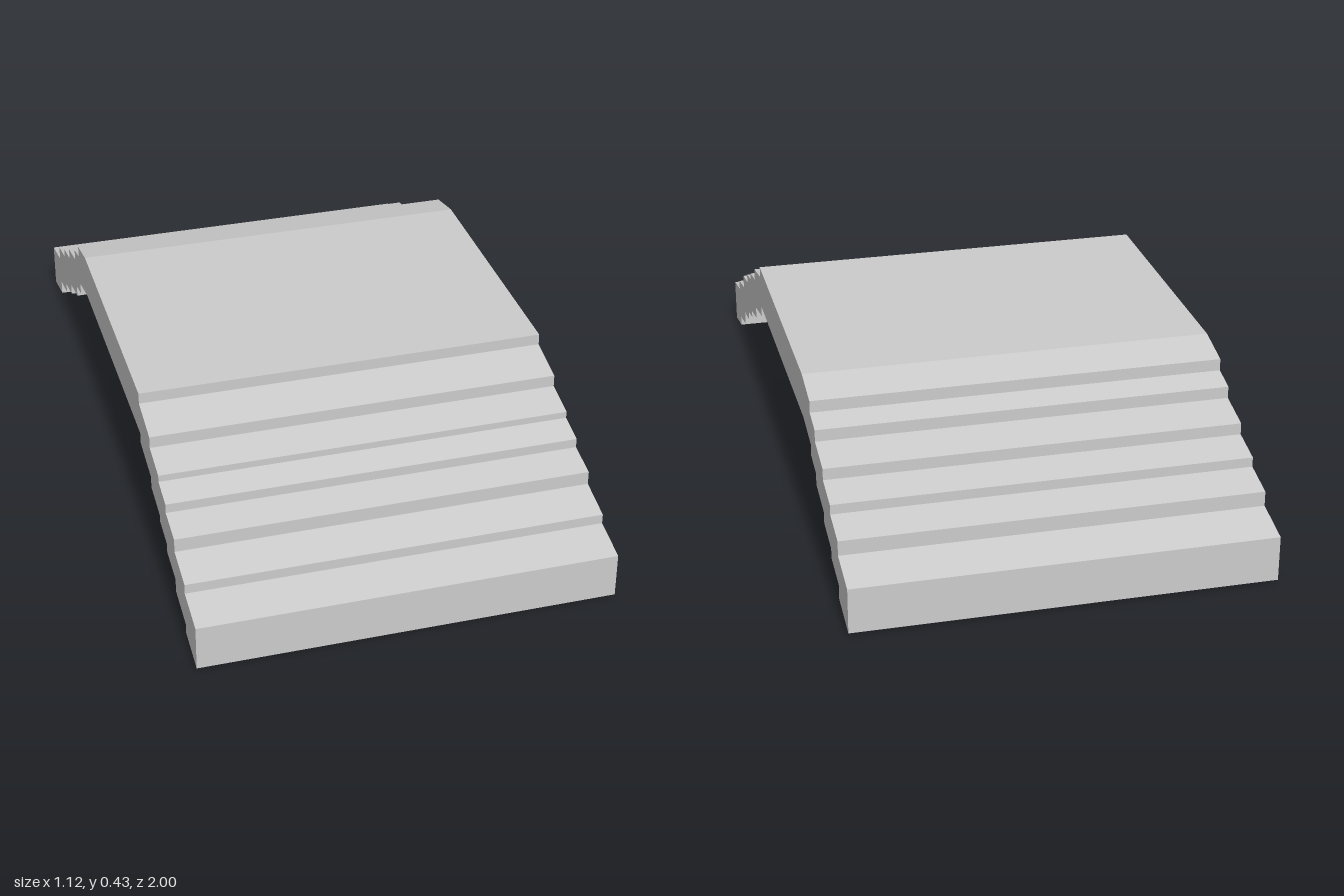
import * as THREE from 'three';

const WIDTH = 1.12;
const THICKNESS = 0.125;

// Treads from front to back: [front z, front y, back z, back y] of the upper surface
const TREADS = [
  [1.0, 0.125, 0.885, 0.149],
  [0.885, 0.176, 0.775, 0.2],
  [0.775, 0.238, 0.68, 0.255],
  [0.68, 0.281, 0.6, 0.298],
  [0.6, 0.317, 0.5, 0.338],
  [0.5, 0.371, 0.375, 0.397],
  [0.375, 0.428, -0.38, 0.428], // flat deck
  [-0.38, 0.428, -0.495, 0.403],
  [-0.495, 0.37, -0.567, 0.354],
  [-0.567, 0.321, -0.677, 0.298],
  [-0.677, 0.266, -0.775, 0.246],
  [-0.775, 0.219, -0.877, 0.198],
  [-0.877, 0.157, -1.0, 0.131],
];

export function createModel() {
  const model = new THREE.Group();
  model.name = 'steppedBridge';

  // Side profile: the stepped top, then the same line lowered for the underside
  const top = TREADS.flatMap(([z0, y0, z1, y1]) => [
    new THREE.Vector2(z0, y0),
    new THREE.Vector2(z1, y1),
  ]);
  const underside = top.map((p) => new THREE.Vector2(p.x, p.y - THICKNESS)).reverse();
  const profile = new THREE.Shape([...top, ...underside]);

  // Extrude the profile across the width and turn it to run along z
  const geometry = new THREE.ExtrudeGeometry(profile, { depth: WIDTH, bevelEnabled: false });
  geometry.rotateY(-Math.PI / 2);
  geometry.translate(WIDTH / 2, 0, 0);

  const material = new THREE.MeshStandardMaterial({ color: 0xcccccc, flatShading: true });
  const span = new THREE.Mesh(geometry, material);
  span.name = 'steppedSpan';
  model.add(span);
  return model;
}
